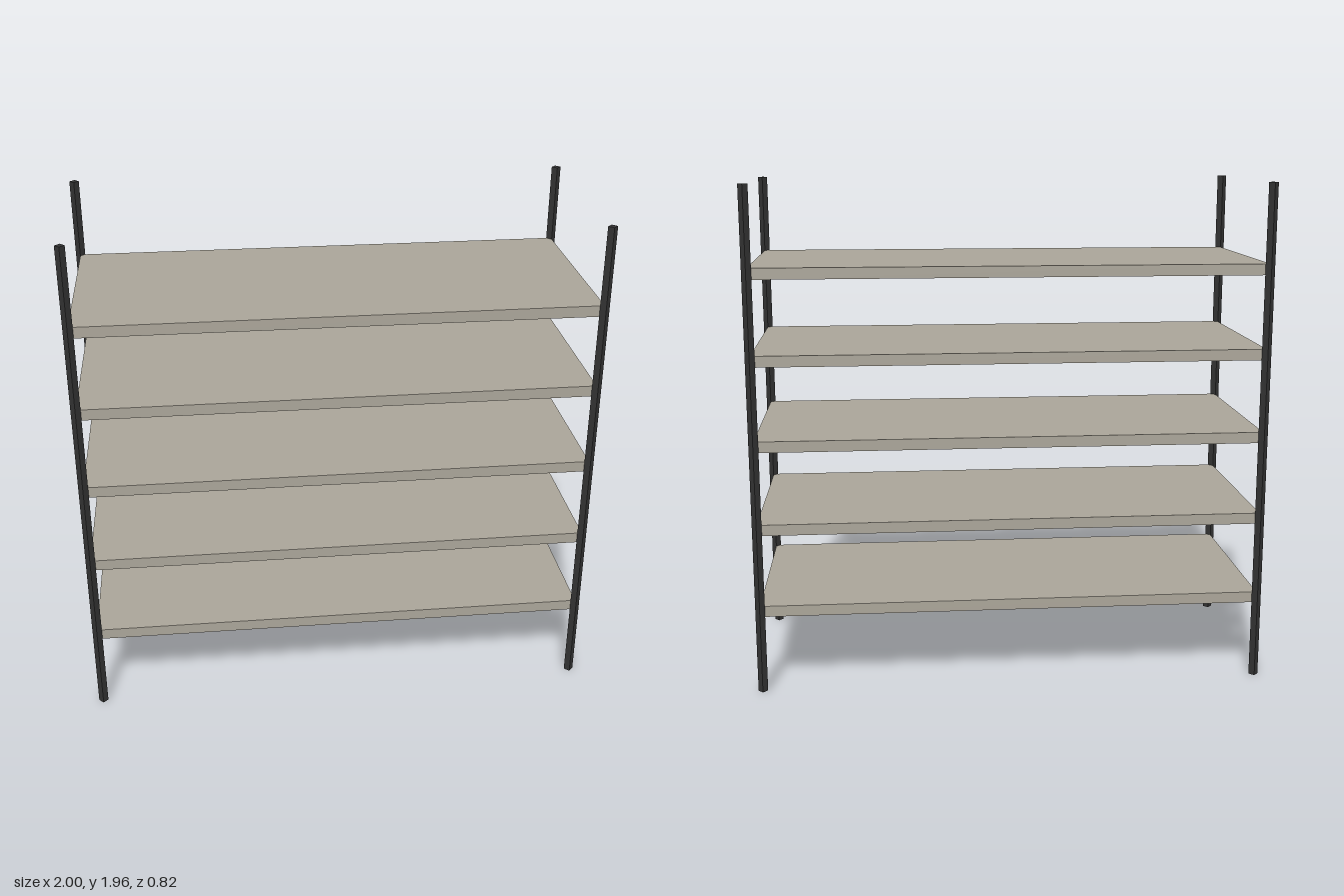
import * as THREE from 'three';

export function createModel() {
  const model = new THREE.Group();
  const metal = new THREE.MeshStandardMaterial({ color: 0x333333, flatShading: true });
  const board = new THREE.MeshStandardMaterial({ color: 0xaaa599, flatShading: true });

  const width = 1.963, depth = 0.785, height = 1.963;
  const shelfCount = 5, thickness = 0.043, postRadius = 0.0185;

  // Four square posts, turned 45 degrees, centred on the shelf corners
  const postGeometry = new THREE.CylinderGeometry(postRadius, postRadius, height, 4);
  for (const [sideName, sx] of [['Left', 1], ['Right', -1]]) {
    for (const [endName, sz] of [['front', 1], ['back', -1]]) {
      const post = new THREE.Mesh(postGeometry, metal);
      post.name = `${endName}${sideName}Post`;
      post.position.set(sx * width / 2, height / 2, sz * depth / 2);
      model.add(post);
    }
  }

  // Evenly spaced shelves
  const shelfGeometry = new THREE.BoxGeometry(width, thickness, depth);
  for (let i = 1; i <= shelfCount; i++) {
    const shelf = new THREE.Mesh(shelfGeometry, board);
    shelf.name = `shelf${i}`;
    shelf.position.y = height * i / (shelfCount + 1);
    model.add(shelf);
  }
  return model;
}
